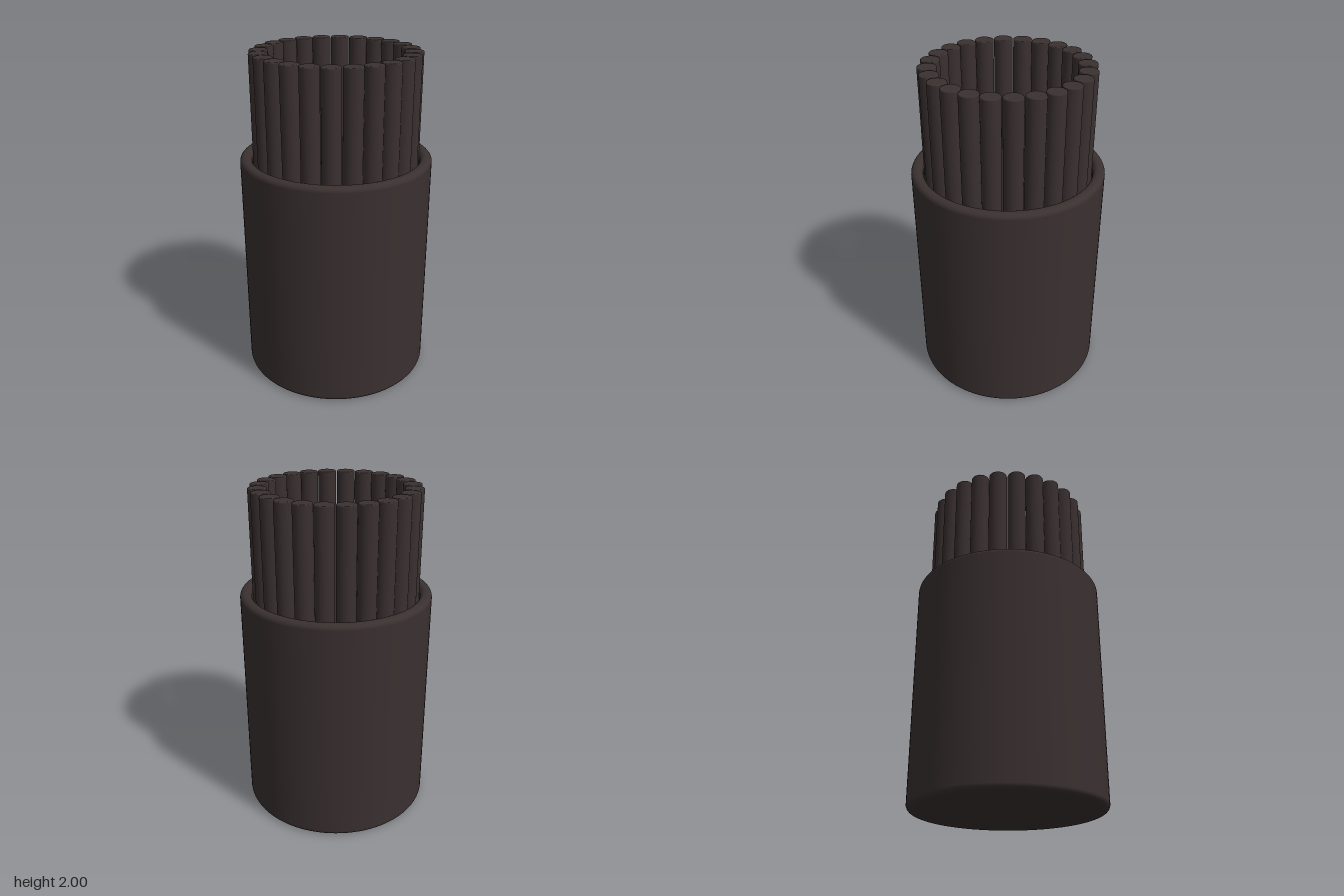
import * as THREE from 'three';

const CUP_RADIUS = 0.57, CUP_INNER = 0.5, CUP_HEIGHT = 1.39, FLOOR = 0.07;
const ROD_COUNT = 24, ROD_RING = 0.44, ROD_RADIUS = 0.055, ROD_TOP = 2;

// Quarter-circle of profile points around (cx, cy), from angle a to a + 90 degrees
function corner(cx, cy, r, a, steps = 6) {
  return Array.from({ length: steps + 1 }, (_, i) => {
    const t = a + (i / steps) * Math.PI / 2;
    return new THREE.Vector2(cx + r * Math.cos(t), cy + r * Math.sin(t));
  });
}

export function createModel() {
  const model = new THREE.Group();
  model.name = 'rodCup';
  const dark = new THREE.MeshStandardMaterial({ color: 0x3a3030 });
  dark.name = 'dark brown';

  // Hollow cup: underside, outer wall, rounded rim, inner wall, floor
  const r = 0.03;
  const cupProfile = [
    new THREE.Vector2(0, 0),
    ...corner(CUP_RADIUS - r, r, r, -Math.PI / 2),
    ...corner(CUP_RADIUS - r, CUP_HEIGHT - r, r, 0),
    ...corner(CUP_INNER + r, CUP_HEIGHT - r, r, Math.PI / 2),
    new THREE.Vector2(CUP_INNER, FLOOR + 0.002),
    new THREE.Vector2(CUP_INNER - 0.002, FLOOR),
    new THREE.Vector2(0, FLOOR),
  ];
  const cup = new THREE.Mesh(new THREE.LatheGeometry(cupProfile, 96), dark);
  cup.name = 'cup';
  model.add(cup);

  // Ring of upright rods standing on the cup floor
  const b = 0.006;
  const rodProfile = [
    new THREE.Vector2(0, FLOOR),
    ...corner(ROD_RADIUS - b, FLOOR + b, b, -Math.PI / 2, 3),
    ...corner(ROD_RADIUS - b, ROD_TOP - b, b, 0, 3),
    new THREE.Vector2(0, ROD_TOP),
  ];
  const rodGeometry = new THREE.LatheGeometry(rodProfile, 32);
  const rods = new THREE.Group();
  rods.name = 'rods';
  for (let i = 0; i < ROD_COUNT; i++) {
    const a = (i / ROD_COUNT) * Math.PI * 2;
    const rod = new THREE.Mesh(rodGeometry, dark);
    rod.name = 'rod';
    rod.position.set(ROD_RING * Math.cos(a), 0, ROD_RING * Math.sin(a));
    rods.add(rod);
  }
  model.add(rods);
  return model;
}
